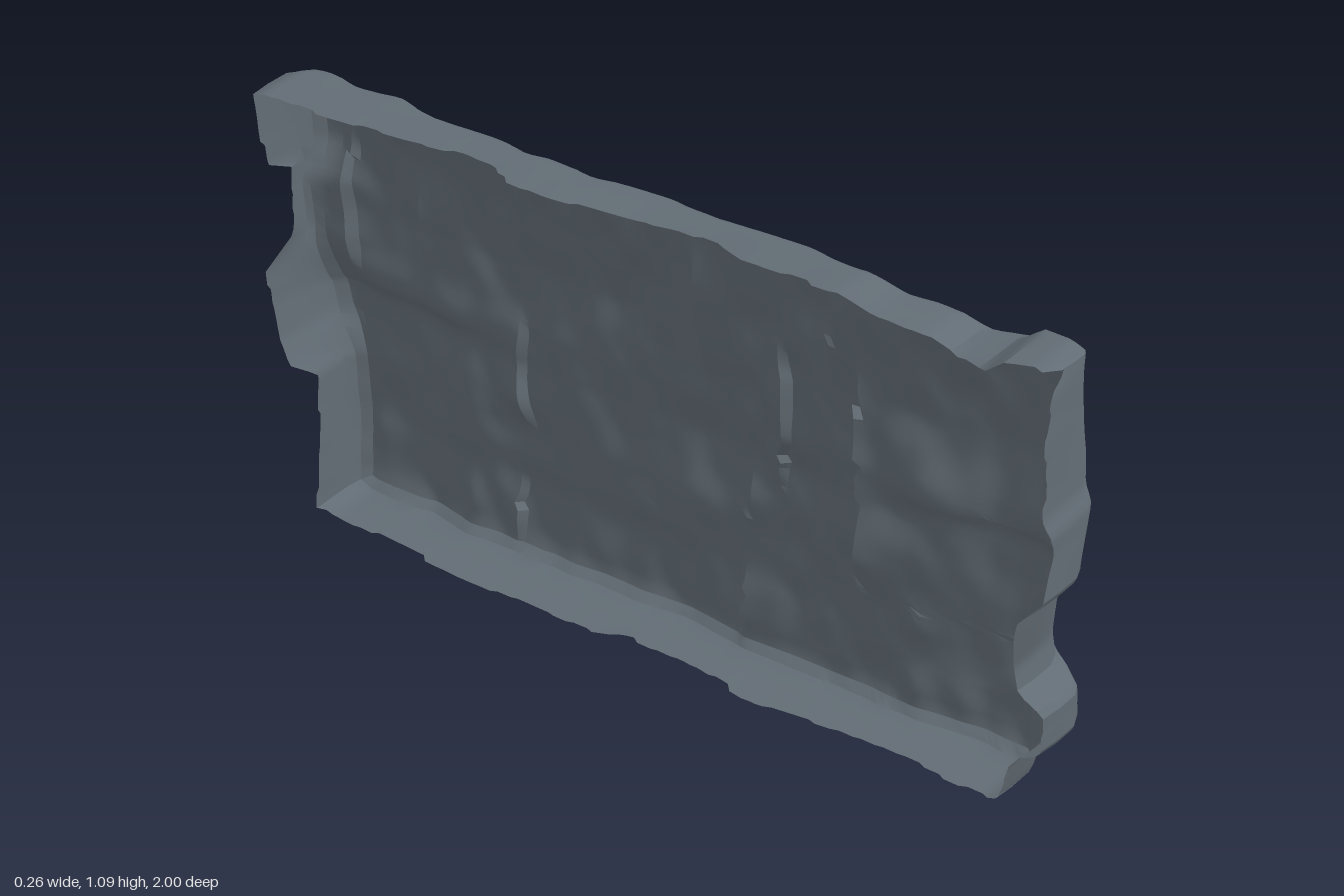
import * as THREE from 'three';
import { toCreasedNormals } from 'three/addons/utils/BufferGeometryUtils.js';

const { lerp, clamp, smoothstep } = THREE.MathUtils;

// Piecewise linear curve through [position, value] pairs
function curve(points) {
  return (t) => {
    if (t <= points[0][0]) return points[0][1];
    for (let i = 1; i < points.length; i++) {
      const [a, va] = points[i - 1], [b, vb] = points[i];
      if (t <= b) return lerp(va, vb, (t - a) / (b - a));
    }
    return points[points.length - 1][1];
  };
}

// Repeatable value noise, 0..1
function hash(i, j) {
  const s = Math.sin(i * 127.1 + j * 311.7) * 43758.5453;
  return s - Math.floor(s);
}
function noise(x, y) {
  const i = Math.floor(x), j = Math.floor(y);
  const u = smoothstep(x - i, 0, 1), v = smoothstep(y - j, 0, 1);
  return lerp(lerp(hash(i, j), hash(i + 1, j), u), lerp(hash(i, j + 1), hash(i + 1, j + 1), u), v);
}

// Outline of the slab: the two ends over height, top and bottom over length
const frontEnd = curve([[0, 0.88], [0.04, 0.9], [0.12, 0.92], [0.145, 0.97], [0.17, 0.985], [0.265, 0.985], [0.295, 0.93],
  [0.36, 0.92], [0.5, 0.945], [0.57, 1], [0.72, 1], [0.76, 0.985], [0.9, 0.98], [1.08, 0.975]]);
const backEnd = curve([[0, -0.92], [0.03, -0.945], [0.35, -0.95], [0.46, -0.985], [0.55, -0.995], [1.08, -1]]);
const topEdge = curve([[-1, 1.08], [-0.96, 1.095], [-0.4, 1.09], [0, 1.08], [0.5, 1.09], [0.58, 1.07], [0.7, 1.06],
  [0.75, 1.035], [0.83, 1.04], [0.87, 1.075], [0.94, 1.08], [0.98, 1.065]]);
const bottomEdge = curve([[-0.95, 0.015], [-0.9, 0], [0, 0.008], [0.5, 0.01], [0.86, 0.01], [0.92, 0.03]]);

// Depth of the rock face, with the stones at each end set in or out
const faceByHeight = curve([[0, 0.095], [0.05, 0.11], [0.2, 0.117], [0.35, 0.108], [0.5, 0.11], [0.6, 0.097],
  [0.75, 0.093], [0.9, 0.072], [1, 0.055], [1.08, 0.04]]);
const faceByLength = curve([[-1, -0.005], [-0.93, 0.012], [-0.72, 0.017], [-0.6, -0.007], [-0.45, 0], [-0.3, -0.006],
  [0, -0.004], [0.3, -0.01], [0.45, -0.022], [0.6, -0.022], [0.75, 0.004], [0.85, 0.006], [0.95, -0.008], [1, -0.01]]);
const frontTaper = curve([[0.14, 0], [0.2, 0.012], [0.35, 0.028], [0.5, 0.04], [0.7, 0.032], [0.9, 0.022], [1.05, 0.01]]);
const backStones = curve([[0.35, 0], [0.45, 0.012], [0.55, 0.01], [0.68, -0.028], [0.82, -0.025], [0.9, 0.02], [1, 0.025], [1.08, 0.015]]);

// Open back edge: over height at each end, over length at the top and at the bottom
const backAtFrontEnd = curve([[0, -0.055], [0.15, -0.05], [0.27, -0.065], [0.36, -0.075], [0.46, -0.115], [0.58, -0.118],
  [0.68, -0.09], [0.76, -0.12], [0.95, -0.12], [1.02, -0.1], [1.07, -0.07]]);
const backAtBackEnd = curve([[0, -0.055], [0.1, -0.045], [0.36, -0.015], [0.42, -0.1], [0.65, -0.11], [0.7, -0.02],
  [0.86, 0], [0.9, -0.085], [1.08, -0.1]]);
const backAtTop = curve([[-1, -0.105], [-0.8, -0.115], [-0.6, -0.1], [-0.45, -0.075], [-0.37, -0.075], [-0.33, -0.108],
  [-0.2, -0.115], [0, -0.09], [0.1, -0.072], [0.2, -0.08], [0.25, -0.1], [0.68, -0.105], [0.74, -0.09], [0.85, -0.135], [1, -0.1]]);
const backAtBottom = curve([[-0.9, -0.04], [-0.5, -0.07], [-0.15, -0.075], [-0.05, -0.035], [0.1, -0.04], [0.3, -0.075],
  [0.5, -0.05], [0.85, -0.055]]);

// Upright cracks: z, bottom, top, depth (negative depth steps the other way)
const cracks = [[0.45, 0.3, 0.82, 0.026], [0.38, 0.84, 1, 0.018], [0.27, 0.45, 0.82, -0.02], [0.05, 0.66, 0.95, 0.022],
  [-0.44, 0.34, 0.61, -0.024], [0.15, 0.03, 0.22, 0.02], [-0.47, 0.03, 0.2, -0.018], [-0.72, 0.66, 0.86, 0.02],
  [-0.89, 0.58, 0.95, -0.02], [0.16, 0.34, 0.46, 0.022]];

function faceDepth(z, y) {
  let x = faceByHeight(y) + faceByLength(z);
  x += (noise(z * 6 + 20, y * 4 + 7) - 0.5) * 0.022 + (noise(z * 17 + 50, y * 12 + 3) - 0.5) * 0.014;
  for (const [zc, y0, y1, depth] of cracks) {
    const mask = smoothstep(y, y0 - 0.04, y0 + 0.08) * (1 - smoothstep(y, y1 - 0.08, y1 + 0.04));
    const side = (z - zc + (noise(y * 6, zc * 30) - 0.5) * 0.03) * Math.sign(depth);
    if (side > 0) x -= Math.abs(depth) * mask * Math.exp(-side / 0.07);
  }
  // ledge beneath the upper stones
  const ledge = smoothstep(Math.abs(z), 0.5, 0.65) * smoothstep(y, 0.53, 0.56) * (1 - smoothstep(y, 0.56, 0.75));
  x -= 0.012 * ledge;
  x -= frontTaper(y) * smoothstep(z, 0.85, 0.98);
  return x + backStones(y) * (1 - smoothstep(z, -0.93, -0.82));
}

// A grid whose outer rows fold back to form the rim; the back stays open
function slabGeometry() {
  const cols = 112, rows = 72, fold = 4;
  const inset = [0.032, 0.01, 0, 0.002, 0.008];
  const reach = [0, 0.1, 0.28, 0.65, 1];
  const geometry = new THREE.PlaneGeometry(1, 1, cols, rows);
  const position = geometry.attributes.position;
  for (let k = 0; k < position.count; k++) {
    const i = k % (cols + 1), j = Math.floor(k / (cols + 1));
    const d = Math.max(0, fold - i, i - cols + fold, fold - j, j - rows + fold);
    const u = clamp((i - fold) / (cols - 2 * fold), 0, 1);
    const v = 1 - clamp((j - fold) / (rows - 2 * fold), 0, 1);
    const h = lerp(0.03, 1.06, v);
    const z = lerp(frontEnd(h) - inset[d], backEnd(h) + inset[d], u);
    const y = lerp(bottomEdge(z) + inset[d] * 0.8, topEdge(z) - inset[d] * 0.8, v);
    let back = u === 0 ? backAtFrontEnd(y) : backAtBackEnd(y);
    if (u > 0 && u < 1) back = v > 0.5 ? backAtTop(z) : backAtBottom(z);
    const ragged = (hash(Math.floor(i / 3), Math.floor(j / 3)) - 0.5) * 0.02;
    position.setXYZ(k, lerp(faceDepth(z, y), back + ragged, reach[d]), y, z);
  }
  geometry.deleteAttribute('uv');
  return toCreasedNormals(geometry, 0.4);
}

export function createModel() {
  const group = new THREE.Group();
  group.name = 'rockWall';
  const stone = new THREE.MeshStandardMaterial({ color: 0x626c74, side: THREE.DoubleSide });
  const slab = new THREE.Mesh(slabGeometry(), stone);
  slab.name = 'rockShell';
  group.add(slab);
  return group;
}
